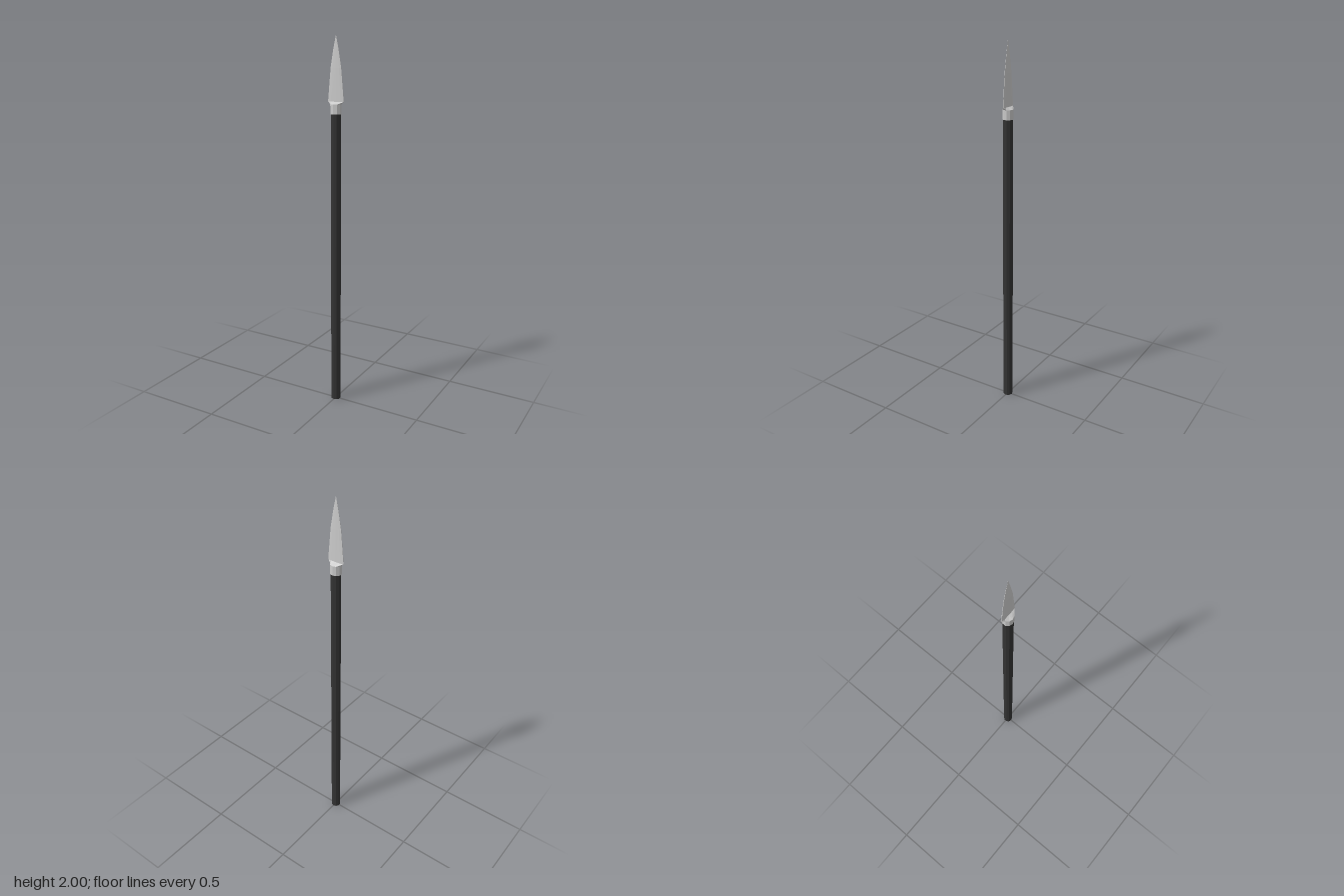
import * as THREE from 'three';

const SIDES = 10;

// Ten-sided loft; each ring is [y, half size in x, half size in z]
function loft(rings, color, name) {
  const n = rings.length - 1;
  const geo = new THREE.CylinderGeometry(1, 1, 1, SIDES, n);
  const p = geo.attributes.position;
  for (let i = 0; i < p.count; i++) {
    const [y, rx, rz] = rings[Math.round((p.getY(i) + 0.5) * n)];
    p.setXYZ(i, p.getX(i) * rx, y, p.getZ(i) * rz);
  }
  geo.computeVertexNormals();
  const mesh = new THREE.Mesh(geo, new THREE.MeshStandardMaterial({ color, flatShading: true }));
  mesh.name = name;
  return mesh;
}

export function createModel() {
  const spear = new THREE.Group();
  spear.name = 'spear';

  // Long dark pole
  spear.add(loft([[0, 0.027, 0.026], [1.615, 0.027, 0.026]], 0x333333, 'shaft'));

  // Metal collar, closing in towards the blade
  spear.add(loft([
    [1.61, 0.03, 0.028],
    [1.66, 0.03, 0.028],
    [1.672, 0.046, 0.004],
  ], 0xcccccc, 'collar'));

  // Thin leaf blade, tapering with a slight curve to the tip
  spear.add(loft([
    [1.672, 0.048, 0.004],
    [1.84, 0.032, 0.0035],
    [1.93, 0.016, 0.002],
    [2, 0.0005, 0.0003],
  ], 0xcccccc, 'blade'));

  return spear;
}
